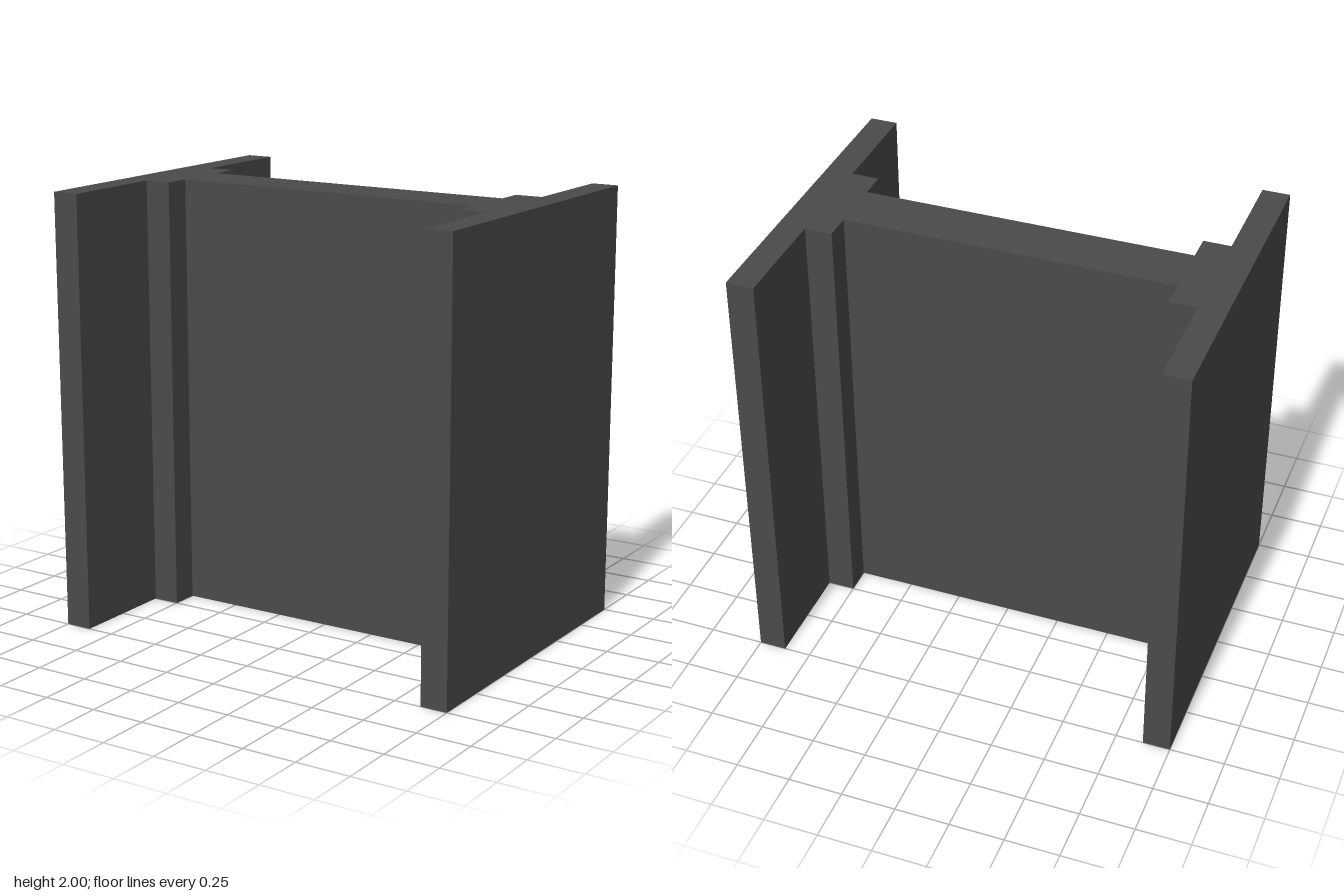
import * as THREE from 'three';

export function createModel() {
  const model = new THREE.Group();
  model.name = 'beamSection';

  const darkSteel = new THREE.MeshStandardMaterial({ color: 0x4a4a4a });
  darkSteel.name = 'darkSteel';

  // One quarter of the I-beam outline: web, stepped fillet, flange
  const quarter = [[0.75, 0.125], [0.75, 0.25], [0.875, 0.25], [0.875, 0.75], [1, 0.75]];
  const mirror = (points, sx, sy) => points.map(([x, y]) => [x * sx, y * sy]);

  // Mirror the quarter around both axes, walking counter-clockwise
  const outline = [
    ...mirror(quarter, 1, -1),
    ...mirror(quarter, 1, 1).reverse(),
    ...mirror(quarter, -1, 1),
    ...mirror(quarter, -1, -1).reverse(),
  ].map(([x, y]) => new THREE.Vector2(x, y));

  // Extrude the outline upward from the ground
  const geometry = new THREE.ExtrudeGeometry(new THREE.Shape(outline), { depth: 2, bevelEnabled: false });
  geometry.rotateX(-Math.PI / 2);

  const beam = new THREE.Mesh(geometry, darkSteel);
  beam.name = 'steppedIBeam';
  model.add(beam);
  return model;
}
